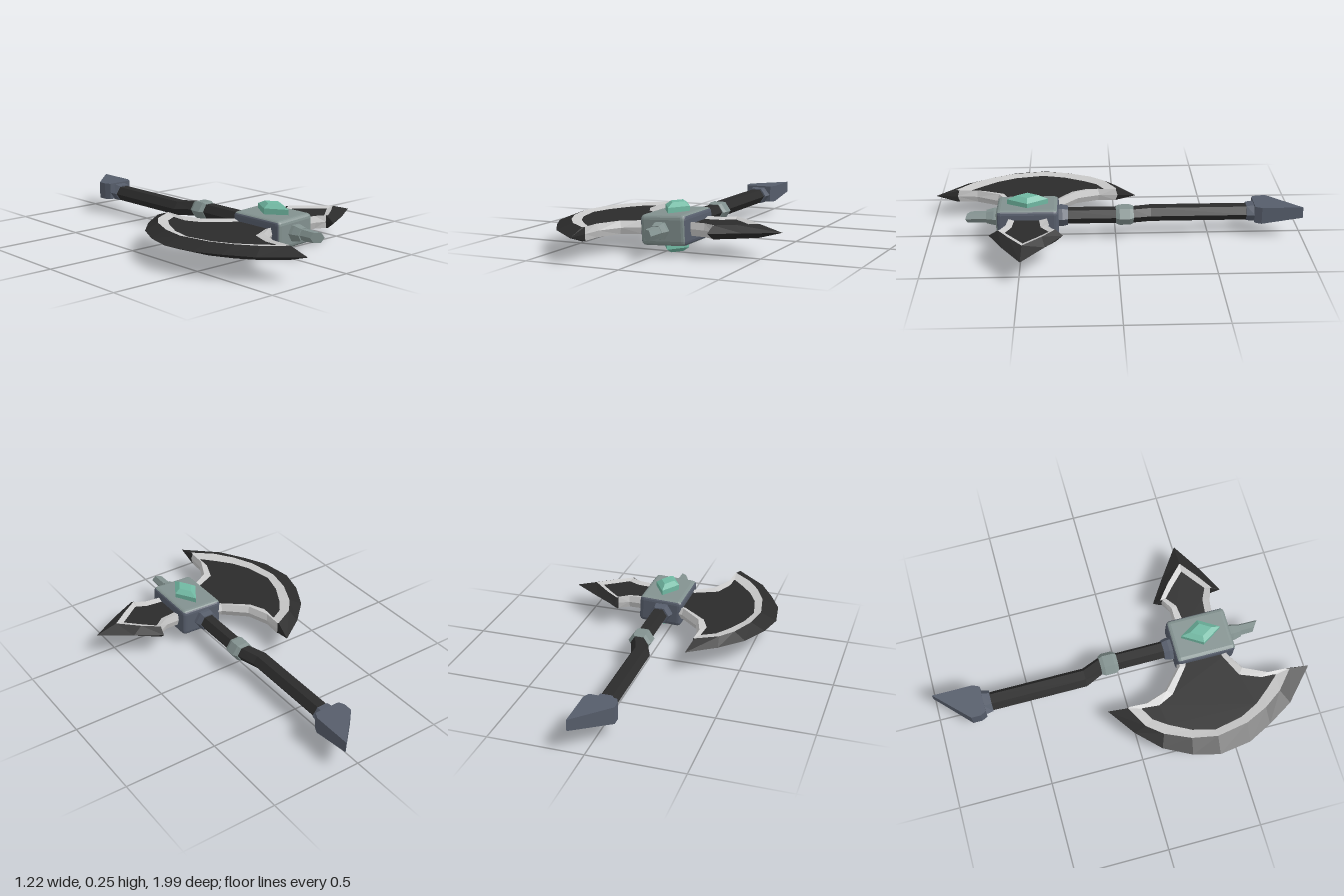
import * as THREE from 'three';
import { RoundedBoxGeometry } from 'three/addons/geometries/RoundedBoxGeometry.js';

const mat = (name, color) => {
  const m = new THREE.MeshStandardMaterial({ color, flatShading: true });
  m.name = name;
  return m;
};

export function createModel() {
  const black = mat('black', 0x2b2b2b);
  const silver = mat('silver', 0xc8c8c8);
  const stone = mat('stone grey', 0x82918f);
  const slate = mat('slate', 0x565d6b);
  const jade = mat('jade', 0x70b8a2);

  const root = new THREE.Group();
  root.name = 'battleAxe';
  const add = (name, geometry, material, parent = root) => {
    const mesh = new THREE.Mesh(geometry, material);
    mesh.name = name;
    parent.add(mesh);
    return mesh;
  };
  const fromTriangles = (positions) => {
    const g = new THREE.BufferGeometry();
    g.setAttribute('position', new THREE.Float32BufferAttribute(positions, 3));
    g.computeVertexNormals();
    return g;
  };

  // Six-sided bar through sections [z, centre x, centre y, half width, half height], z rising
  const hexBar = (sections) => {
    const pos = [];
    const rings = sections.map(([z, cx, cy, w, h]) => Array.from({ length: 6 }, (_, i) => {
      const a = i * Math.PI / 3;
      return [cx + w * Math.cos(a), cy + h * Math.sin(a) / 0.866, z];
    }));
    for (let s = 0; s < rings.length - 1; s++) {
      for (let i = 0; i < 6; i++) {
        const j = (i + 1) % 6, a = rings[s], b = rings[s + 1];
        pos.push(...a[i], ...a[j], ...b[j], ...a[i], ...b[j], ...b[i]);
      }
    }
    const first = rings[0], last = rings[rings.length - 1];
    for (let i = 1; i < 5; i++) {
      pos.push(...first[0], ...first[i + 1], ...first[i]);
      pos.push(...last[0], ...last[i], ...last[i + 1]);
    }
    return fromTriangles(pos);
  };

  // Handle with its bend, and the collars
  add('handle', hexBar([
    [-0.74, -0.008, 0.118, 0.052, 0.038], [-0.19, -0.008, 0.118, 0.052, 0.038],
    [-0.09, 0.032, 0.127, 0.048, 0.038], [0.29, 0.033, 0.127, 0.048, 0.038],
  ]), black);
  add('middleCollar', hexBar([
    [-0.095, 0.032, 0.127, 0.052, 0.04], [-0.075, 0.033, 0.127, 0.064, 0.046],
    [-0.02, 0.033, 0.127, 0.064, 0.046], [0.0, 0.033, 0.127, 0.052, 0.04],
  ]), stone);
  add('headCollar', hexBar([
    [0.255, 0.03, 0.127, 0.056, 0.044], [0.285, 0.03, 0.127, 0.064, 0.05],
    [0.32, 0.03, 0.127, 0.064, 0.05],
  ]), slate);
  add('pommelCollar', hexBar([
    [-0.78, -0.003, 0.125, 0.08, 0.044], [-0.75, -0.005, 0.123, 0.07, 0.044],
    [-0.705, -0.006, 0.12, 0.06, 0.042],
  ]), slate);

  // Pommel: slanted wedge whose underside rises to the tip
  const outline = [[-0.09, -0.825], [0.085, -1], [0.085, -0.78], [0.068, -0.745], [-0.075, -0.745], [-0.09, -0.775]];
  const wedge = new THREE.ExtrudeGeometry(
    new THREE.Shape(outline.map(([x, z]) => new THREE.Vector2(x, -z))),
    { depth: 0.092, bevelEnabled: false },
  );
  wedge.rotateX(-Math.PI / 2).translate(0, 0.083, 0);
  const wp = wedge.attributes.position;
  for (let i = 0; i < wp.count; i++) {
    if (wp.getZ(i) < -0.95 && wp.getY(i) < 0.1) wp.setY(i, 0.115);
  }
  wedge.computeVertexNormals();
  add('pommel', wedge, slate);

  // Front spike with a slanted end
  add('spikeCollar', hexBar([
    [0.61, 0.032, 0.127, 0.048, 0.042], [0.65, 0.032, 0.127, 0.046, 0.04],
    [0.69, 0.032, 0.127, 0.036, 0.031],
  ]), stone);
  const spike = hexBar([[0.66, 0.035, 0.127, 0.032, 0.028], [0.78, 0.035, 0.127, 0.03, 0.026]]);
  const sp = spike.attributes.position;
  for (let i = 0; i < sp.count; i++) {
    if (sp.getZ(i) > 0.7) sp.setZ(i, 0.78 + (sp.getX(i) - 0.035) * 0.7);
  }
  spike.computeVertexNormals();
  add('frontSpike', spike, stone);

  // Head block, slightly tilted, with a gem above and below
  const head = new THREE.Group();
  head.name = 'head';
  head.position.set(0.04, 0.126, 0.468);
  root.add(head);
  const block = add('headBlock', new RoundedBoxGeometry(0.246, 0.153, 0.328, 2, 0.024),
    [slate, slate, stone, stone, stone, slate], head);
  block.rotation.z = 0.045;
  for (const side of [1, -1]) {
    const gem = new THREE.Group();
    gem.name = side > 0 ? 'topGem' : 'bottomGem';
    gem.rotation.z = side > 0 ? 0 : Math.PI;
    gem.position.x = side > 0 ? 0.004 : -0.002;
    head.add(gem);
    const base = new THREE.CylinderGeometry(1, 1, 0.04, 4).scale(0.067, 1, 0.108).translate(0, 0.084, 0);
    const crown = new THREE.CylinderGeometry(0.55, 1, 0.021, 4).scale(0.067, 1, 0.108).translate(0, 0.1145, 0);
    add('gemBase', base, jade, gem);
    add('gemCrown', crown, jade, gem);
  }

  // Blade from rows of [edge x, z, rim x, z, panel x, z]; the edge is sharp from row 'from' to row 'to'
  const blade = (name, rows, y, from, to) => {
    const edge = [], rim = [], panel = [];
    const heights = [0, 0.034, 0.024];
    const point = (row, k) => new THREE.Vector3(rows[row][k * 2], heights[k], rows[row][k * 2 + 1]);
    const tri = (out, a, b, c) => {
      const n = b.clone().sub(a).cross(c.clone().sub(a));
      const [p, q] = n.y > 0 ? [b, c] : [c, b];
      for (const v of [a, p, q]) out.push(v.x, y + v.y, v.z);
      for (const v of [a, q, p]) out.push(v.x, y - v.y, v.z);
    };
    for (let i = 0; i < rows.length - 1; i++) {
      for (let k = 0; k < 2; k++) {
        const out = k === 0 && i >= from && i < to ? edge : rim;
        tri(out, point(i, k), point(i + 1, k), point(i + 1, k + 1));
        tri(out, point(i, k), point(i + 1, k + 1), point(i, k + 1));
      }
    }
    const inner = rows.map((r) => new THREE.Vector2(r[4], r[5]));
    for (const [a, b, c] of THREE.ShapeUtils.triangulateShape(inner, [])) {
      tri(panel, point(a, 2), point(b, 2), point(c, 2));
    }
    const group = new THREE.Group();
    group.name = name;
    root.add(group);
    add('cuttingEdge', fromTriangles(edge), black, group);
    add('rim', fromTriangles(rim), silver, group);
    add('panel', fromTriangles(panel), black, group);
  };

  // Large crescent blade
  blade('crescentBlade', [
    [-0.05, 0.31, -0.05, 0.325, -0.05, 0.37],
    [-0.09, 0.3, -0.095, 0.315, -0.1, 0.345],
    [-0.2, 0.2, -0.21, 0.21, -0.235, 0.235],
    [-0.24, 0.08, -0.25, 0.09, -0.275, 0.15],
    [-0.24, -0.02, -0.245, -0.01, -0.267, 0.06],
    [-0.23, -0.12, -0.25, -0.015, -0.27, 0.055],
    [-0.38, -0.015, -0.37, 0.05, -0.34, 0.095],
    [-0.5, 0.105, -0.435, 0.13, -0.39, 0.165],
    [-0.575, 0.25, -0.495, 0.265, -0.45, 0.28],
    [-0.61, 0.39, -0.52, 0.4, -0.48, 0.4],
    [-0.585, 0.56, -0.49, 0.57, -0.45, 0.55],
    [-0.52, 0.69, -0.435, 0.69, -0.4, 0.65],
    [-0.435, 0.83, -0.365, 0.79, -0.335, 0.73],
    [-0.26, 0.99, -0.26, 0.88, -0.272, 0.8],
    [-0.25, 0.87, -0.255, 0.86, -0.268, 0.79],
    [-0.24, 0.76, -0.25, 0.76, -0.265, 0.72],
    [-0.18, 0.645, -0.19, 0.635, -0.22, 0.61],
    [-0.09, 0.59, -0.095, 0.58, -0.1, 0.555],
    [-0.05, 0.58, -0.05, 0.57, -0.05, 0.54],
  ], 0.127, 4, 14);

  // Small pointed blade on the other side
  blade('pointedBlade', [
    [0.12, 0.345, 0.12, 0.36, 0.12, 0.4],
    [0.165, 0.355, 0.165, 0.365, 0.165, 0.405],
    [0.24, 0.355, 0.24, 0.365, 0.25, 0.395],
    [0.295, 0.325, 0.297, 0.33, 0.3, 0.357],
    [0.305, 0.28, 0.3, 0.318, 0.307, 0.352],
    [0.44, 0.37, 0.385, 0.385, 0.365, 0.405],
    [0.605, 0.487, 0.485, 0.482, 0.44, 0.48],
    [0.44, 0.585, 0.39, 0.553, 0.365, 0.535],
    [0.29, 0.66, 0.3, 0.612, 0.312, 0.575],
    [0.292, 0.605, 0.297, 0.603, 0.305, 0.572],
    [0.24, 0.585, 0.24, 0.575, 0.25, 0.545],
    [0.165, 0.575, 0.165, 0.565, 0.165, 0.535],
    [0.12, 0.575, 0.12, 0.565, 0.12, 0.535],
  ], 0.134, 3, 9);

  return root;
}
